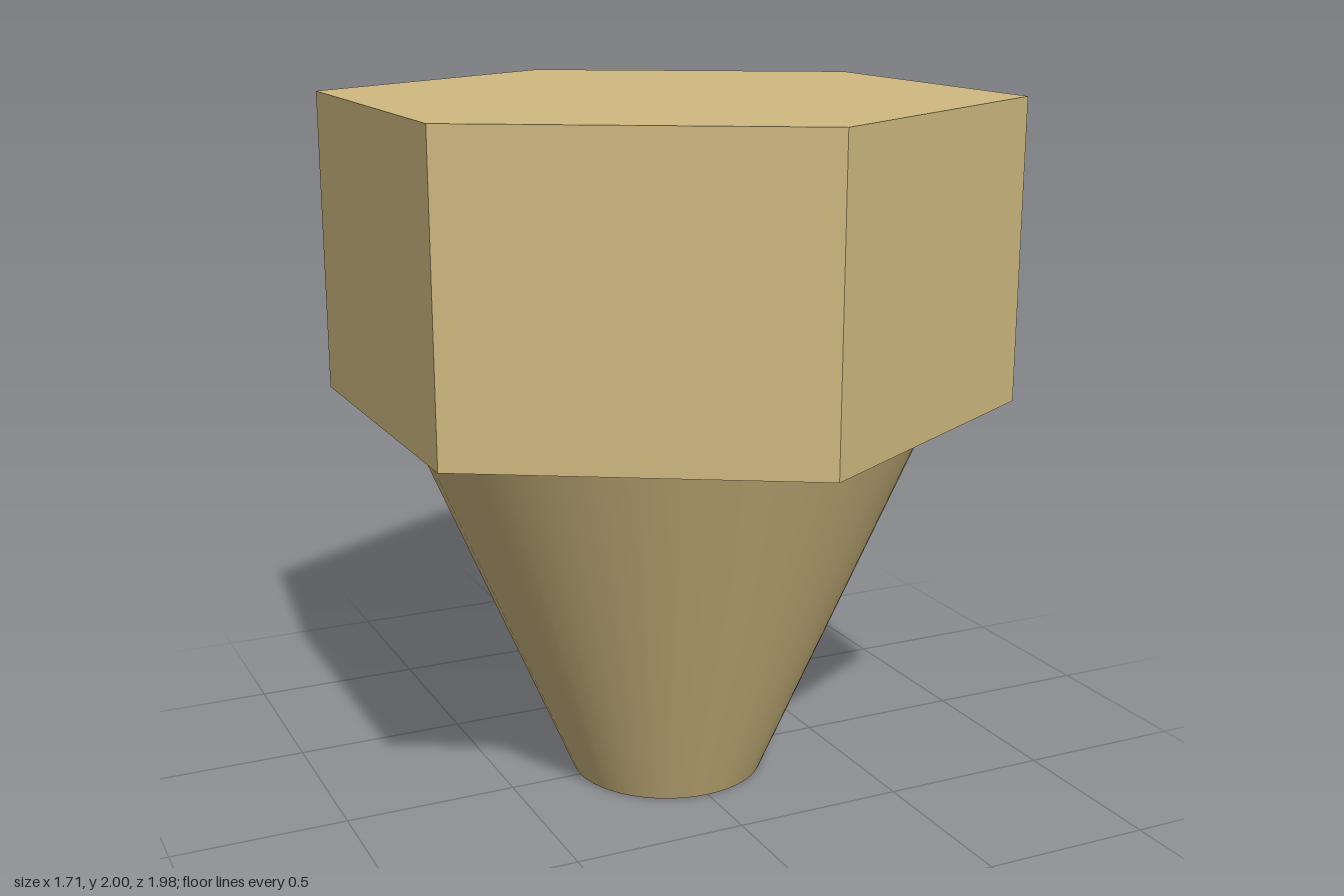
import * as THREE from 'three';

export function createModel() {
  const model = new THREE.Group();
  model.name = 'nozzle';
  const brass = new THREE.MeshStandardMaterial({ color: 0xd0ba80 });
  brass.name = 'brass';
  const hexBrass = brass;

  const joint = 1.143; // height where the cone meets the hex head

  function add(name, geometry, y) {
    const mesh = new THREE.Mesh(geometry, hexBrass);
    mesh.name = name;
    mesh.position.y = y;
    model.add(mesh);
  }

  // Hex head: corners at front and back, flat faces at the sides
  const head = new THREE.CylinderGeometry(0.99, 0.99, 2 - joint, 6).toNonIndexed();
  head.computeVertexNormals();
  add('hexHead', head, (2 + joint) / 2);

  // Smooth tapered tip with a flat end
  add('taperedTip', new THREE.CylinderGeometry(0.768, 0.285, joint, 48), joint / 2);

  return model;
}
